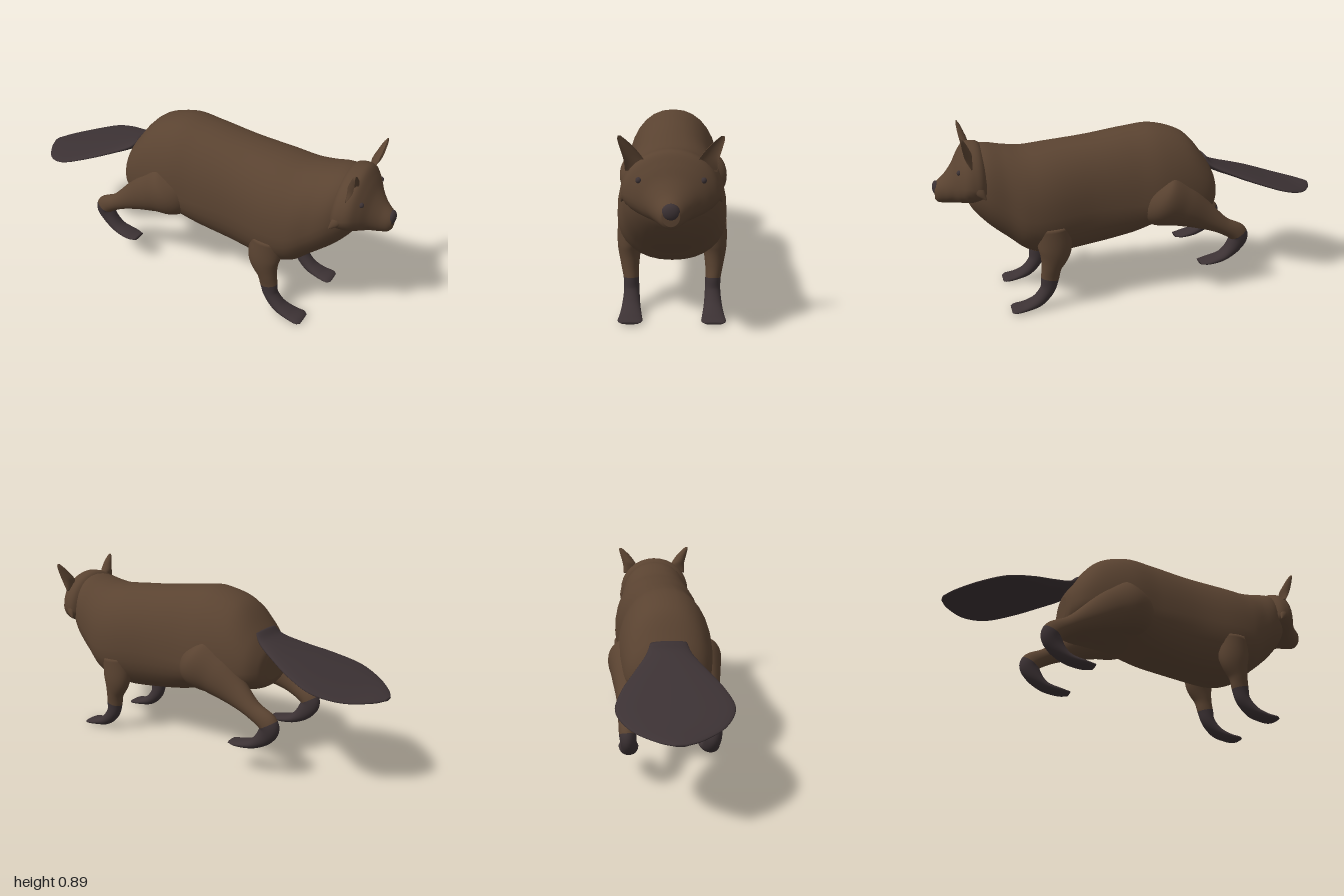
import * as THREE from 'three';

const fur = new THREE.MeshStandardMaterial({ color: 0x5a4331 });
fur.name = 'brownFur';
const skin = new THREE.MeshStandardMaterial({ color: 0x3c3234 });
skin.name = 'darkSkin';

const RING = 32, STEPS = 8;

// Smooth tube through sections [x, y, z, upRadius, downRadius, sideRadius].
// A fixed tangent keeps every ring in one plane; from section `split` on, the second material is used.
function loft(name, sections, { tangent = null, split = null, power = 2, materials = [fur, skin] } = {}) {
  const centres = new THREE.CatmullRomCurve3(sections.map((s) => new THREE.Vector3(s[0], s[1], s[2])), false, 'catmullrom', 0.5);
  const radii = new THREE.CatmullRomCurve3(sections.map((s) => new THREE.Vector3(s[3], s[4], s[5])), false, 'catmullrom', 0.5);
  const rows = (sections.length - 1) * STEPS;
  const pos = [], index = [];
  const round = (v) => Math.sign(v) * Math.abs(v) ** (2 / power);
  for (let i = 0; i <= rows; i++) {
    const c = centres.getPoint(i / rows), r = radii.getPoint(i / rows);
    const t = tangent ? tangent.clone() : centres.getTangent(i / rows);
    t.z = 0;
    const up = new THREE.Vector3(0, 0, 1).cross(t.normalize());
    for (let j = 0; j < RING; j++) {
      const a = (j / RING) * Math.PI * 2;
      const h = round(Math.cos(a)) * (Math.cos(a) > 0 ? r.x : r.y);
      pos.push(c.x + up.x * h, c.y + up.y * h, c.z + round(Math.sin(a)) * r.z);
    }
  }
  const first = pos.length / 3, last = first + 1;
  for (const s of [sections[0], sections[sections.length - 1]]) pos.push(s[0], s[1], s[2]);
  for (let j = 0; j < RING; j++) index.push(first, (j + 1) % RING, j);
  let cut = 0;
  for (let i = 0; i < rows; i++) {
    if (split !== null && i === split * STEPS) cut = index.length;
    for (let j = 0; j < RING; j++) {
      const k = (j + 1) % RING;
      const a = i * RING + j, b = i * RING + k, c = a + RING, d = b + RING;
      index.push(a, b, c, b, d, c);
    }
  }
  for (let j = 0; j < RING; j++) index.push(last, rows * RING + j, rows * RING + ((j + 1) % RING));
  const g = new THREE.BufferGeometry();
  g.setAttribute('position', new THREE.Float32BufferAttribute(pos, 3));
  g.setIndex(index);
  g.computeVertexNormals();
  if (split !== null) {
    g.addGroup(0, cut, 0);
    g.addGroup(cut, index.length - cut, 1);
  }
  const mesh = new THREE.Mesh(g, split !== null ? materials : materials[0]);
  mesh.name = name;
  return mesh;
}

// Turns [x, top, bottom, widest height, half width] into a loft section
const slice = ([x, top, bottom, mid, w]) => [x, mid, 0, top - mid, mid - bottom, w];
const forward = new THREE.Vector3(1, 0, 0);

function ball(name, material, x, y, z, sx, sy, sz) {
  const mesh = new THREE.Mesh(new THREE.SphereGeometry(1, 20, 14), material);
  mesh.name = name;
  mesh.position.set(x, y, z);
  mesh.scale.set(sx, sy, sz);
  return mesh;
}

export function createModel() {
  const model = new THREE.Group();
  model.name = 'animal';

  // Trunk from rump to neck
  model.add(loft('body', [
    [-0.415, 0.58, 0.44, 0.5, 0.08],
    [-0.40, 0.62, 0.405, 0.5, 0.14],
    [-0.35, 0.70, 0.385, 0.5, 0.195],
    [-0.25, 0.81, 0.375, 0.5, 0.225],
    [-0.10, 0.858, 0.355, 0.5, 0.24],
    [0.05, 0.848, 0.30, 0.5, 0.228],
    [0.25, 0.82, 0.262, 0.5, 0.225],
    [0.45, 0.80, 0.245, 0.48, 0.245],
    [0.57, 0.79, 0.275, 0.48, 0.24],
    [0.66, 0.80, 0.345, 0.53, 0.215],
    [0.75, 0.815, 0.42, 0.60, 0.19],
    [0.82, 0.80, 0.50, 0.63, 0.14],
    [0.85, 0.75, 0.56, 0.64, 0.07],
  ].map(slice), { tangent: forward, power: 2.2 }));

  // Head with wide cheeks and a narrow muzzle
  model.add(loft('head', [
    [0.735, 0.77, 0.58, 0.64, 0.15],
    [0.77, 0.82, 0.555, 0.635, 0.198],
    [0.81, 0.83, 0.542, 0.645, 0.203],
    [0.845, 0.822, 0.54, 0.65, 0.19],
    [0.875, 0.78, 0.54, 0.645, 0.155],
    [0.905, 0.725, 0.54, 0.63, 0.11],
    [0.94, 0.68, 0.54, 0.61, 0.075],
    [0.975, 0.65, 0.545, 0.60, 0.05],
    [0.99, 0.635, 0.56, 0.60, 0.035],
  ].map(slice), { tangent: forward }));
  model.add(ball('nose', skin, 0.981, 0.616, 0, 0.019, 0.034, 0.036));

  // Broad flat tail
  model.add(loft('tail', [
    [-0.355, 0.675, 0, 0.02, 0.02, 0.085],
    [-0.40, 0.63, 0, 0.023, 0.023, 0.11],
    [-0.50, 0.59, 0, 0.02, 0.02, 0.165],
    [-0.62, 0.55, 0, 0.02, 0.02, 0.225],
    [-0.75, 0.51, 0, 0.019, 0.019, 0.255],
    [-0.87, 0.48, 0, 0.016, 0.016, 0.20],
    [-0.96, 0.468, 0, 0.012, 0.012, 0.10],
    [-1.0, 0.466, 0, 0.006, 0.006, 0.025],
  ], { materials: [skin] }));

  for (const s of [1, -1]) {
    const side = s > 0 ? 'left' : 'right';

    // Front leg with dark paw
    model.add(loft(side + 'FrontLeg', [
      [0.46, 0.43, 0.17 * s, 0.09, 0.09, 0.08],
      [0.455, 0.31, 0.195 * s, 0.08, 0.08, 0.057],
      [0.475, 0.22, 0.195 * s, 0.05, 0.05, 0.042],
      [0.485, 0.16, 0.19 * s, 0.045, 0.045, 0.036],
      [0.50, 0.10, 0.188 * s, 0.037, 0.037, 0.036],
      [0.548, 0.047, 0.188 * s, 0.03, 0.03, 0.042],
      [0.61, 0.024, 0.187 * s, 0.019, 0.019, 0.05],
      [0.66, 0.017, 0.187 * s, 0.013, 0.013, 0.055],
      [0.68, 0.014, 0.187 * s, 0.006, 0.006, 0.04],
    ], { split: 3 }));

    // Hind leg: thigh, hock and dark foot
    model.add(loft(side + 'HindLeg', [
      [0.0, 0.58, 0.13 * s, 0.05, 0.05, 0.05],
      [-0.08, 0.52, 0.155 * s, 0.14, 0.14, 0.125],
      [-0.20, 0.465, 0.175 * s, 0.11, 0.12, 0.095],
      [-0.32, 0.40, 0.19 * s, 0.07, 0.075, 0.06],
      [-0.42, 0.342, 0.20 * s, 0.045, 0.045, 0.043],
      [-0.505, 0.285, 0.20 * s, 0.045, 0.055, 0.04],
      [-0.49, 0.225, 0.195 * s, 0.042, 0.045, 0.038],
      [-0.43, 0.172, 0.195 * s, 0.026, 0.026, 0.042],
      [-0.35, 0.153, 0.195 * s, 0.016, 0.016, 0.048],
      [-0.30, 0.15, 0.195 * s, 0.008, 0.008, 0.036],
    ], { split: 5 }));

    // Cupped ear, hollow towards the front
    model.add(loft(side + 'Ear', [
      [0.82, 0.74, 0.14 * s, 0.01, -0.002, 0.045],
      [0.845, 0.79, 0.148 * s, 0.035, -0.015, 0.04],
      [0.855, 0.84, 0.172 * s, 0.028, -0.012, 0.029],
      [0.858, 0.875, 0.194 * s, 0.016, -0.006, 0.016],
      [0.857, 0.89, 0.202 * s, 0.005, -0.001, 0.006],
    ]));

    // Cheek tuft and eye
    model.add(loft(side + 'CheekTuft', [
      [0.82, 0.68, 0.17 * s, 0.02, 0.02, 0.02],
      [0.79, 0.635, 0.192 * s, 0.022, 0.022, 0.016],
      [0.765, 0.60, 0.207 * s, 0.003, 0.003, 0.003],
    ]));
    model.add(ball(side + 'Eye', skin, 0.872, 0.715, 0.128 * s, 0.013, 0.013, 0.013));
  }
  return model;
}
